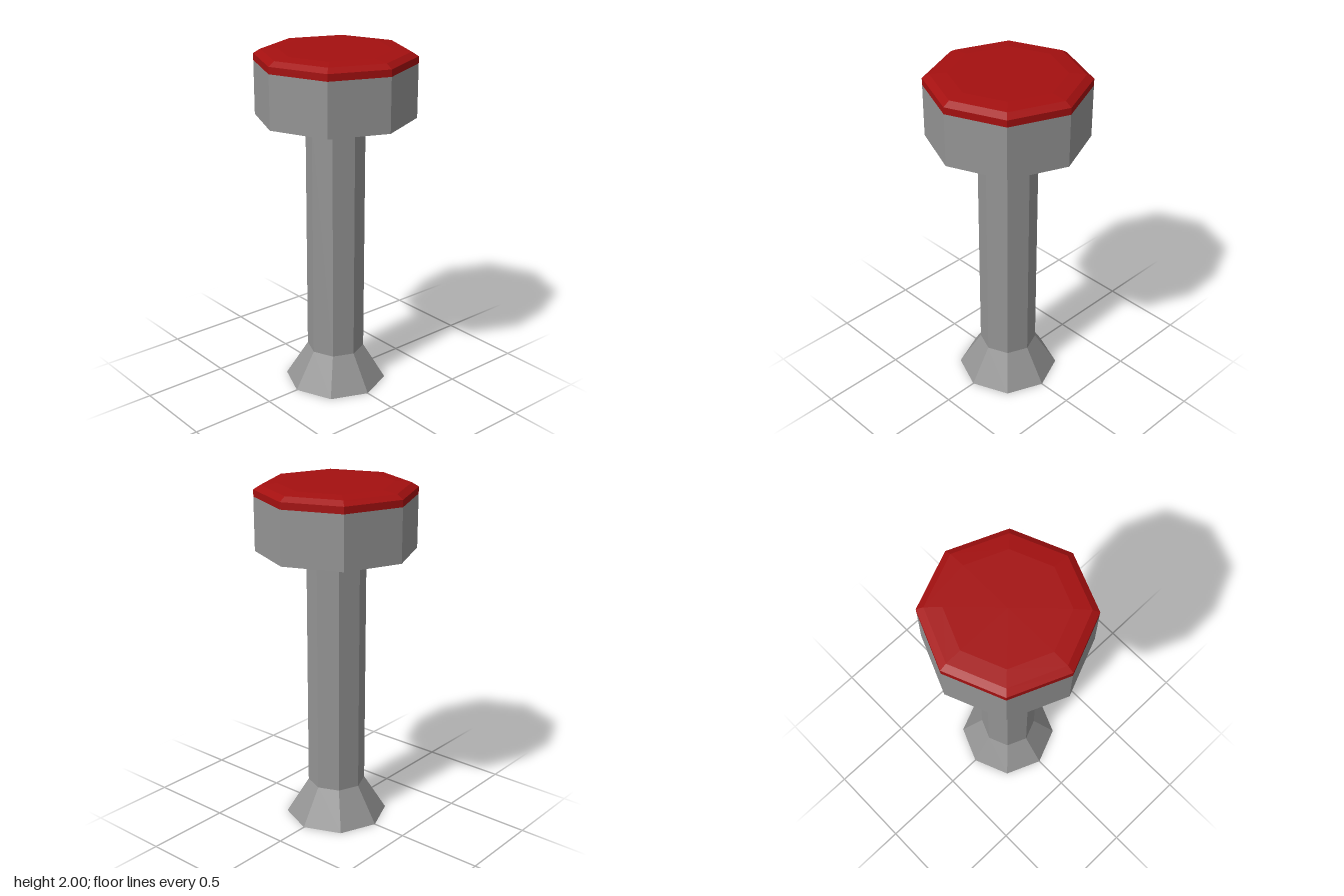
import * as THREE from 'three';

const grey = new THREE.MeshStandardMaterial({ name: 'grey metal', color: 0x949494, flatShading: true });
const red = new THREE.MeshStandardMaterial({ name: 'red cushion', color: 0xa41010, flatShading: true });

// Eight-sided turned part from [radius, height] pairs, listed bottom to top
function turned(name, profile, material) {
  const points = profile.map(([r, y]) => new THREE.Vector2(r, y));
  const mesh = new THREE.Mesh(new THREE.LatheGeometry(points, 8), material);
  mesh.name = name;
  return mesh;
}

export function createModel() {
  const stool = new THREE.Group();
  stool.name = 'barStool';
  stool.add(
    // flared foot with closed underside
    turned('foot', [[0, 0], [0.297, 0], [0.167, 0.21]], grey),
    // straight column
    turned('column', [[0.167, 0.21], [0.167, 1.625]], grey),
    // seat body
    turned('seatBody', [[0, 1.625], [0.45, 1.625], [0.45, 1.928]], grey),
    // padded top with softened rim
    turned('cushion', [[0.45, 1.928], [0.45, 1.967], [0.411, 1.991], [0.318, 2], [0, 2]], red),
  );
  return stool;
}
